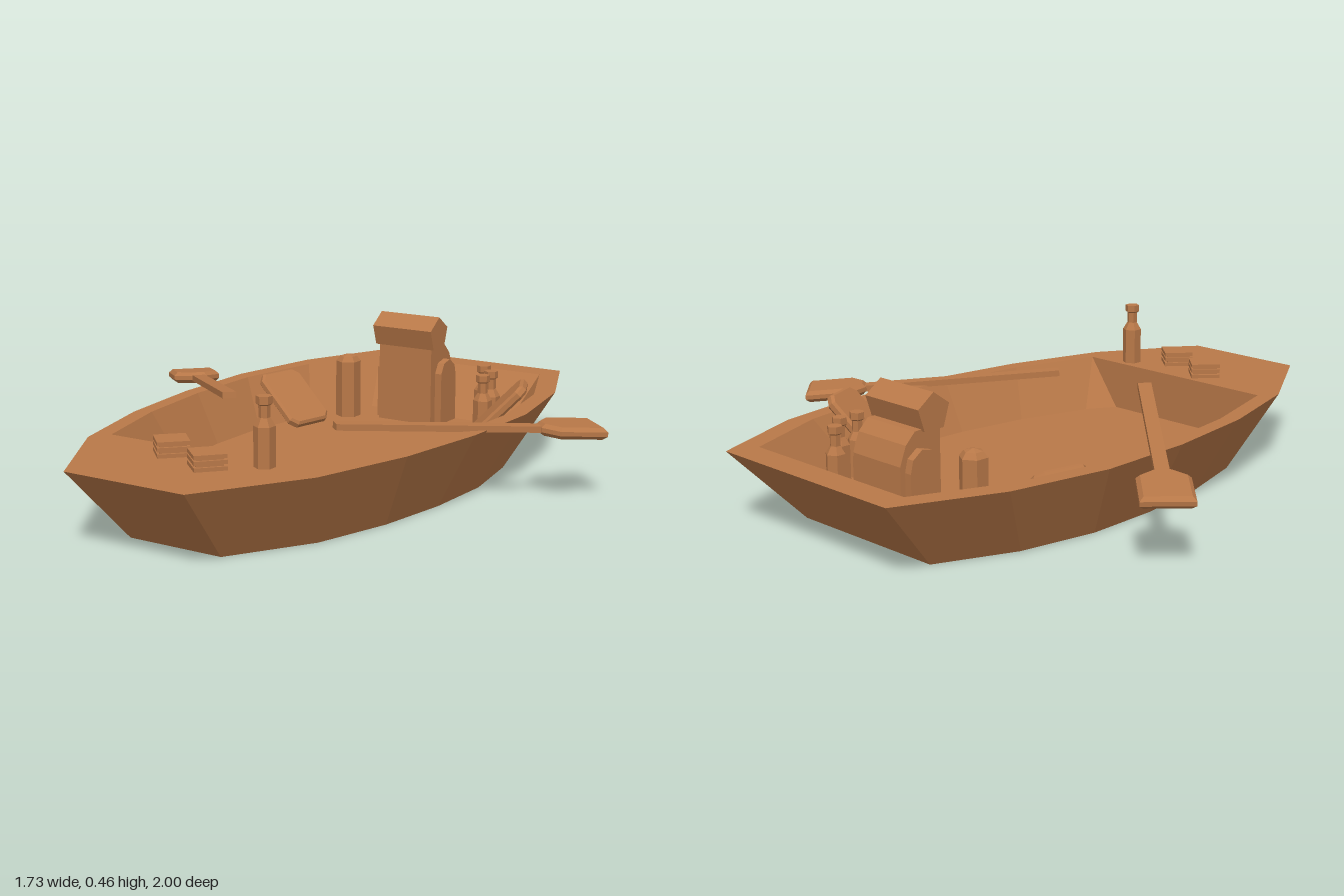
import * as THREE from 'three';

const wood = new THREE.MeshStandardMaterial({ color: 0xb87848, flatShading: true });
wood.name = 'warm brown';

function add(parent, name, geometry, x = 0, y = 0, z = 0) {
  const mesh = new THREE.Mesh(geometry, wood);
  mesh.name = name;
  mesh.position.set(x, y, z);
  parent.add(mesh);
  return mesh;
}

// Hull half widths: [z, half width] from stern to bow
const STATIONS = [[-1, 0.365], [-0.67, 0.503], [-0.33, 0.563], [0, 0.556], [0.33, 0.51], [0.663, 0.415], [1, 0.212]];
const RIM = 0.245, FLOOR = 0.08, DECK_Z = 0.6;

const scaled = (s) => STATIONS.map(([z, w]) => [z * s, w * s]);
const ring = (half) => [
  ...half.map(([z, w]) => [w, z]),
  ...[...half].reverse().map(([z, w]) => [-w, z]),
];

// Wall between two matching rings
function wall(a, ya, b, yb) {
  const p = [];
  a.forEach((_, i) => {
    const j = (i + 1) % a.length;
    const A = [a[i][0], ya, a[i][1]], B = [b[i][0], yb, b[i][1]];
    const C = [b[j][0], yb, b[j][1]], D = [a[j][0], ya, a[j][1]];
    p.push(...A, ...B, ...C, ...A, ...C, ...D);
  });
  const g = new THREE.BufferGeometry();
  g.setAttribute('position', new THREE.Float32BufferAttribute(p, 3));
  g.computeVertexNormals();
  return g;
}

// Flat face from a ring, facing up or down
function face(points, up, hole) {
  const v = (r) => r.map(([x, z]) => new THREE.Vector2(x, up ? -z : z));
  const shape = new THREE.Shape(v(points));
  if (hole) shape.holes.push(new THREE.Path(v(hole)));
  return new THREE.ShapeGeometry(shape).rotateX(up ? -Math.PI / 2 : Math.PI / 2);
}

function hull() {
  const g = new THREE.Group();
  g.name = 'hull';
  g.position.x = 0.008;
  const top = ring(STATIONS), bottom = ring(scaled(0.775));
  // Well is cut off square at the bow deck
  const upper = scaled(0.905).slice(0, 6);
  upper[5][0] = DECK_Z;
  const lower = scaled(0.76);
  const t = (DECK_Z - lower[5][0]) / (lower[6][0] - lower[5][0]);
  lower[6] = [DECK_Z, lower[5][1] + t * (lower[6][1] - lower[5][1])];
  add(g, 'outerSides', wall(bottom, 0, top, RIM));
  add(g, 'bottom', face(bottom, false));
  add(g, 'rimAndDeck', face(top, true, ring(upper)), 0, RIM);
  add(g, 'innerSides', wall(ring([...upper, upper[5]]), RIM, ring(lower), FLOOR));
  add(g, 'floor', face(ring(lower), true), 0, FLOOR);
  return g;
}

// Oar running from the blade's outer edge to the handle tip
function oar(name, from, to) {
  const g = new THREE.Group();
  g.name = name;
  const a = new THREE.Vector3(...from), dir = new THREE.Vector3(...to).sub(a);
  const len = dir.length();
  dir.normalize();
  const side = new THREE.Vector3(0, 1, 0).cross(dir).normalize();
  g.quaternion.setFromRotationMatrix(new THREE.Matrix4().makeBasis(side, dir.clone().cross(side), dir));
  g.position.copy(a);
  const outline = [[-0.08, 0], [0.08, 0], [0.08, 0.155], [0.026, 0.2], [-0.026, 0.2], [-0.08, 0.155]]
    .map(([x, y]) => new THREE.Vector2(x, y));
  const blade = new THREE.ExtrudeGeometry(new THREE.Shape(outline), {
    depth: 0.014, bevelSize: 0.012, bevelOffset: -0.012, bevelThickness: 0.012, bevelSegments: 1,
  });
  blade.translate(0, 0, -0.007).rotateX(Math.PI / 2);
  add(g, 'blade', blade);
  add(g, 'shaft', new THREE.BoxGeometry(0.044, 0.02, len - 0.18), 0, 0, (len + 0.18) / 2);
  return g;
}

function lathe(points, sides) {
  return new THREE.LatheGeometry(points.map(([r, y]) => new THREE.Vector2(r, y)), sides);
}

// Bottle with neck and lip
const bottleShape = lathe([[0, 0], [0.032, 0], [0.032, 0.12], [0.017, 0.145], [0.017, 0.18],
  [0.024, 0.185], [0.024, 0.207], [0, 0.207]], 6);

// Soft-cornered slab, lying flat
function slab(w, d, h) {
  const r = 0.025, x = w / 2, y = d / 2;
  const pts = [[-x + r, -y], [x - r, -y], [x, -y + r], [x, y - r], [x - r, y], [-x + r, y], [-x, y - r], [-x, -y + r]];
  const shape = new THREE.Shape(pts.map((p) => new THREE.Vector2(...p)));
  const b = h / 4;
  return new THREE.ExtrudeGeometry(shape, {
    depth: h - 2 * b, bevelSize: b, bevelOffset: -b, bevelThickness: b, bevelSegments: 1,
  }).translate(0, 0, b - h / 2).rotateX(-Math.PI / 2);
}

// Side profile of [z, y] points extruded along x
function profile(points, width) {
  const shape = new THREE.Shape(points.map(([z, y]) => new THREE.Vector2(-z, y)));
  return new THREE.ExtrudeGeometry(shape, { depth: width, bevelEnabled: false })
    .translate(0, 0, -width / 2).rotateY(Math.PI / 2);
}

function backpack() {
  const g = new THREE.Group();
  g.name = 'backpack';
  g.position.x = -0.048;
  add(g, 'packBody', profile([[-0.62, FLOOR], [-0.62, 0.36], [-0.715, 0.355], [-0.75, 0.32],
    [-0.773, 0.26], [-0.773, FLOOR]], 0.21));
  // Five-sided bedroll across the top
  add(g, 'bedroll', new THREE.CylinderGeometry(0.062, 0.062, 0.234, 5).rotateZ(Math.PI / 2).rotateX(0), 0, 0.4, -0.652)
    .geometry.copy(profile(Array.from({ length: 5 }, (_, i) => {
      const t = i * Math.PI * 0.4;
      return [0.062 * Math.sin(t), 0.062 * Math.cos(t)];
    }), 0.234));
  for (const s of [-1, 1]) {
    add(g, 'sidePocket', profile([[-0.65, FLOOR], [-0.65, 0.26], [-0.67, 0.295], [-0.71, 0.305],
      [-0.745, 0.28], [-0.755, 0.24], [-0.755, FLOOR]], 0.03), s * 0.115);
  }
  return g;
}

export function createModel() {
  const model = new THREE.Group();
  model.name = 'rowingBoat';
  model.add(hull());
  model.add(oar('rightOar', [-0.81, 0.21, -0.37], [-0.196, 0.318, 0.225]));
  model.add(oar('leftOar', [0.805, 0.222, -0.365], [0.222, 0.282, 0.26]));
  model.add(backpack());

  // Bottles on the deck and floor
  for (const [x, y, z] of [[0.238, RIM, 0.65], [0.215, FLOOR + 0.01, -0.715],
    [0.28, FLOOR + 0.01, -0.645], [0.288, FLOOR + 0.01, -0.57]]) {
    add(model, 'bottle', bottleShape, x, y, z);
  }
  // Flask with a pointed cap
  add(model, 'flask', lathe([[0, 0], [0.044, 0], [0.044, 0.2], [0.03, 0.218], [0, 0.226]], 6), -0.27, FLOOR, -0.597);

  // Stacked square packets on the deck
  for (const [x, z, turn] of [[-0.07, 0.682, 0.8], [0.107, 0.745, 0.85]]) {
    const stack = new THREE.Group();
    stack.name = 'packetStack';
    stack.position.set(x, RIM, z);
    stack.rotation.y = turn;
    [[0.097, 0.007], [0.08, 0.017], [0.097, 0.026], [0.08, 0.034], [0.097, 0.043]].forEach(([w, y]) =>
      add(stack, 'packetLayer', new THREE.BoxGeometry(w, 0.012, w), 0, y, 0));
    model.add(stack);
  }

  // Cushions leaning on the inner sides
  const right = add(model, 'rightCushion', slab(0.235, 0.185, 0.032), -0.378, 0.165, -0.405);
  right.rotation.set(0, -0.2, -0.7, 'YZX');
  const left = add(model, 'leftCushion', slab(0.26, 0.165, 0.032), 0.405, 0.21, -0.45);
  left.rotation.set(0, 0.42, 0.8, 'YZX');
  return model;
}
